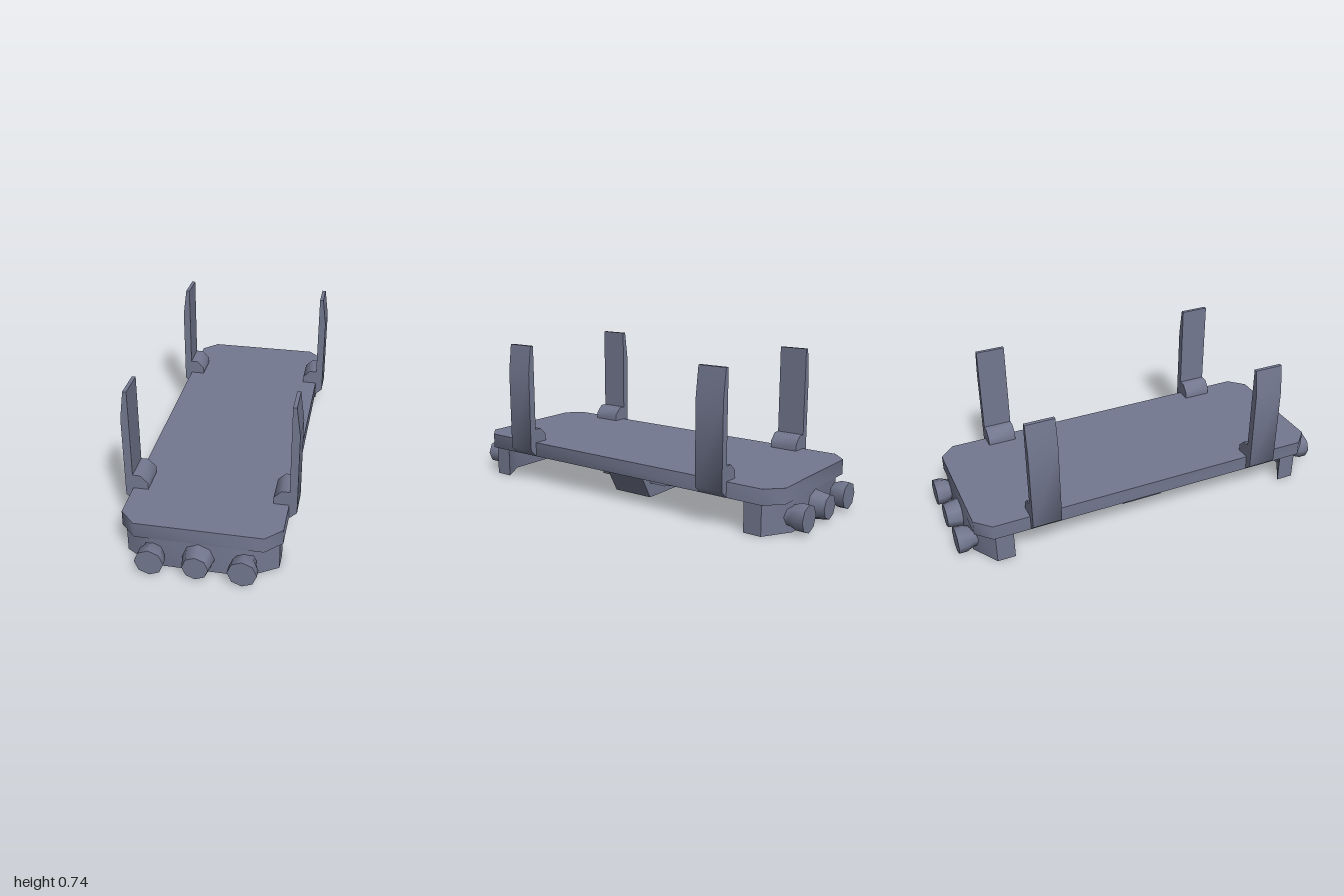
import * as THREE from 'three';
import { toCreasedNormals } from 'three/addons/utils/BufferGeometryUtils.js';

const CREASE = 0.87;

function extrude(points, depth) {
  const shape = new THREE.Shape(points.map(([a, b]) => new THREE.Vector2(a, b)));
  return new THREE.ExtrudeGeometry(shape, { depth, bevelEnabled: false });
}

// Horizontal slab from an (x, z) outline between two heights
function slab(points, bottom, top) {
  const g = extrude(points, top - bottom);
  g.rotateX(Math.PI / 2).translate(0, top, 0);
  return toCreasedNormals(g, CREASE);
}

// Upright prism from an (x, y) outline, centred on z
function prism(points, width, z = 0) {
  const g = extrude(points, width);
  g.translate(0, 0, z - width / 2);
  return toCreasedNormals(g, CREASE);
}

// Rectangle outline with cut corners
function cutRect(x, z, cx, cz) {
  return [[x, -cz], [x, cz], [cx, z], [-cx, z], [-x, cz], [-x, -cz], [-cx, -z], [cx, -z]];
}

// Eight-sided knob pointing along +z from (radius, z) pairs
function knob(profile) {
  const g = new THREE.LatheGeometry(profile.map(([r, z]) => new THREE.Vector2(r, z)), 8);
  g.rotateX(Math.PI / 2);
  return toCreasedNormals(g, CREASE);
}

export function createModel() {
  const model = new THREE.Group();
  model.name = 'stakeDeck';
  const metal = new THREE.MeshStandardMaterial({ color: 0x737890 });
  metal.name = 'slate metal';

  const add = (parent, name, geometry) => {
    const mesh = new THREE.Mesh(geometry, metal);
    mesh.name = name;
    parent.add(mesh);
    return mesh;
  };

  // Deck and the keel blocks beneath it
  add(model, 'deck', slab(cutRect(0.37, 0.925, 0.295, 0.85), 0.15, 0.225));
  add(model, 'underPlate', slab(cutRect(0.2, 0.26, 0.13, 0.2), 0.075, 0.15));
  add(model, 'centreBlock', prism([[-0.2, 0], [0.2, 0], [0.285, 0.15], [-0.285, 0.15]], 0.22));

  // Bent bumper with three knobs, one at each end
  const bumper = slab([
    [-0.355, 0.75], [-0.22, 0.835], [0.22, 0.835], [0.355, 0.75],
    [0.355, 0.84], [0.22, 0.924], [-0.22, 0.924], [-0.355, 0.84],
  ], 0, 0.15);
  const centreKnob = knob([[0, 0.9], [0.074, 0.9], [0.074, 0.925], [0.06, 1], [0, 1]]);
  const sideKnob = knob([[0, 0.9], [0.05, 0.9], [0.052, 0.925], [0.067, 0.96], [0.067, 1], [0, 1]]);
  ['front', 'back'].forEach((end, i) => {
    const group = new THREE.Group();
    group.name = end + 'End';
    group.rotation.y = i * Math.PI;
    add(group, end + 'Bumper', bumper);
    add(group, end + 'CentreKnob', centreKnob).position.y = 0.074;
    for (const s of [-1, 1]) {
      add(group, end + 'SideKnob', sideKnob).position.set(s * 0.21, 0.075, 0);
    }
    model.add(group);
  });

  // Stakes clamped over the deck edge, two on each side
  const stake = [
    [0.37, 0.15], [0.407, 0.185], [0.407, 0.6], [0.388, 0.742], [0.37, 0.742],
    [0.37, 0.297], [0.334, 0.297], [0.297, 0.26], [0.297, 0.225], [0.37, 0.225],
  ];
  ['left', 'right'].forEach((side, i) => {
    const group = new THREE.Group();
    group.name = side + 'Stakes';
    group.rotation.y = i * Math.PI;
    for (const z of [-0.595, 0.595]) add(group, side + 'Stake', prism(stake, 0.145, z));
    model.add(group);
  });

  return model;
}
